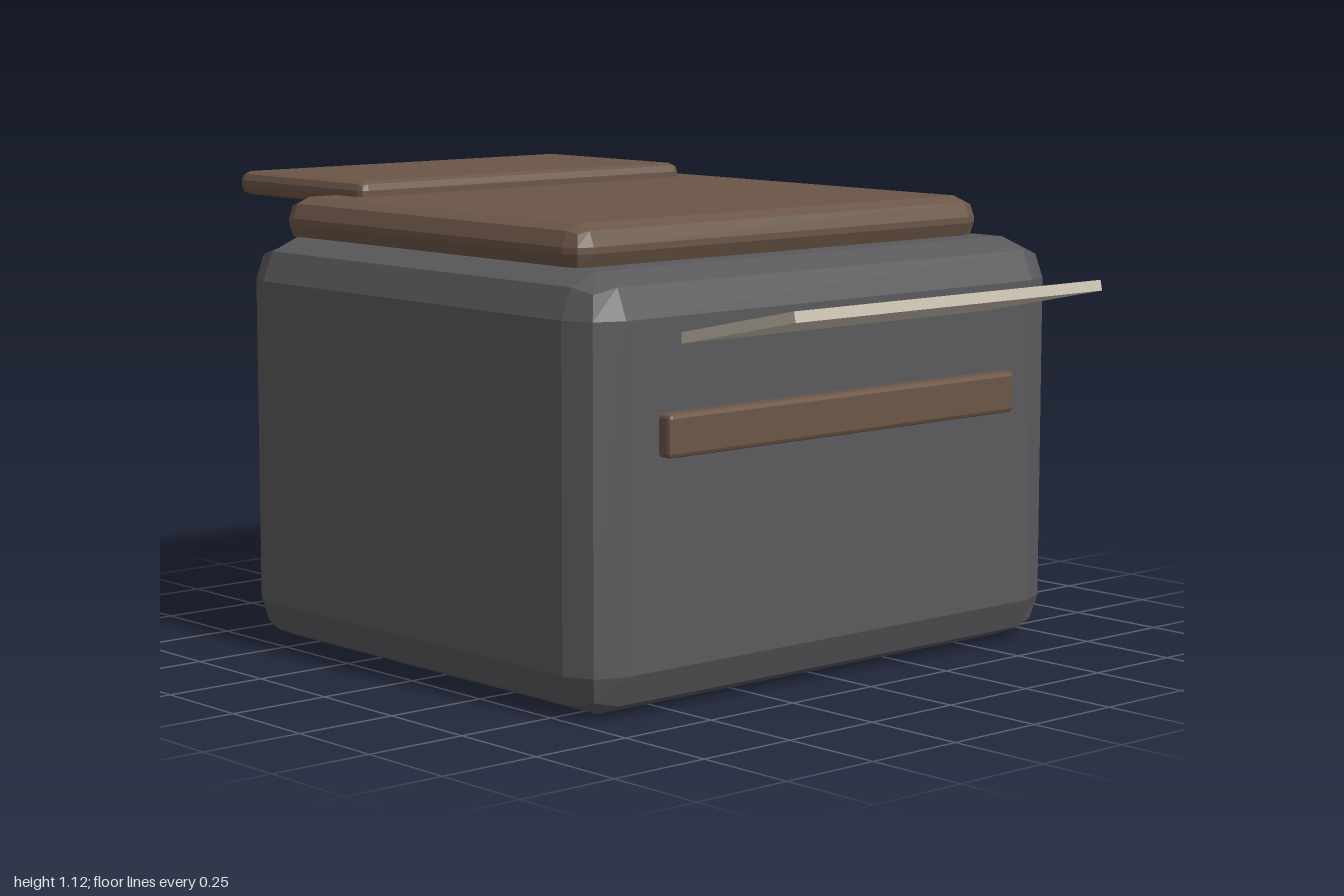
import * as THREE from 'three';
import { RoundedBoxGeometry } from 'three/addons/geometries/RoundedBoxGeometry.js';

const material = (color) => new THREE.MeshStandardMaterial({ color, flatShading: true });

export function createModel() {
  const model = new THREE.Group();
  model.name = 'printer';
  const grey = material(0x5a5a5d);
  const brown = material(0x6b5647);
  const cream = material(0xcdc4b3);

  // box with chamfer-like rounded edges, given by its y and z extents
  function roundedPart(name, width, [y0, y1], [z0, z1], radius, mat) {
    const geometry = new RoundedBoxGeometry(width, y1 - y0, z1 - z0, 1, radius);
    const mesh = new THREE.Mesh(geometry, mat);
    mesh.name = name;
    mesh.position.set(0, (y0 + y1) / 2, (z0 + z1) / 2);
    model.add(mesh);
  }

  roundedPart('body', 1.5, [0, 0.985], [-0.67, 0.64], 0.1, grey);
  roundedPart('scannerLid', 1.3, [0.965, 1.08], [-0.635, 0.475], 0.05, brown);
  roundedPart('paperFeedTray', 1.04, [1.058, 1.117], [-1, -0.48], 0.022, brown);
  roundedPart('frontBar', 1.11, [0.577, 0.675], [0.6, 0.675], 0.01, brown);

  // output tray, rising towards the front and running into the body
  const length = 0.46;
  const tilt = 0.21;
  const tray = new THREE.Mesh(new THREE.BoxGeometry(0.98, 0.025, length), cream);
  tray.name = 'outputTray';
  tray.rotation.x = -tilt;
  tray.position.set(0, 0.912 - Math.sin(tilt) * length / 2, 0.997 - Math.cos(tilt) * length / 2);
  model.add(tray);

  return model;
}
